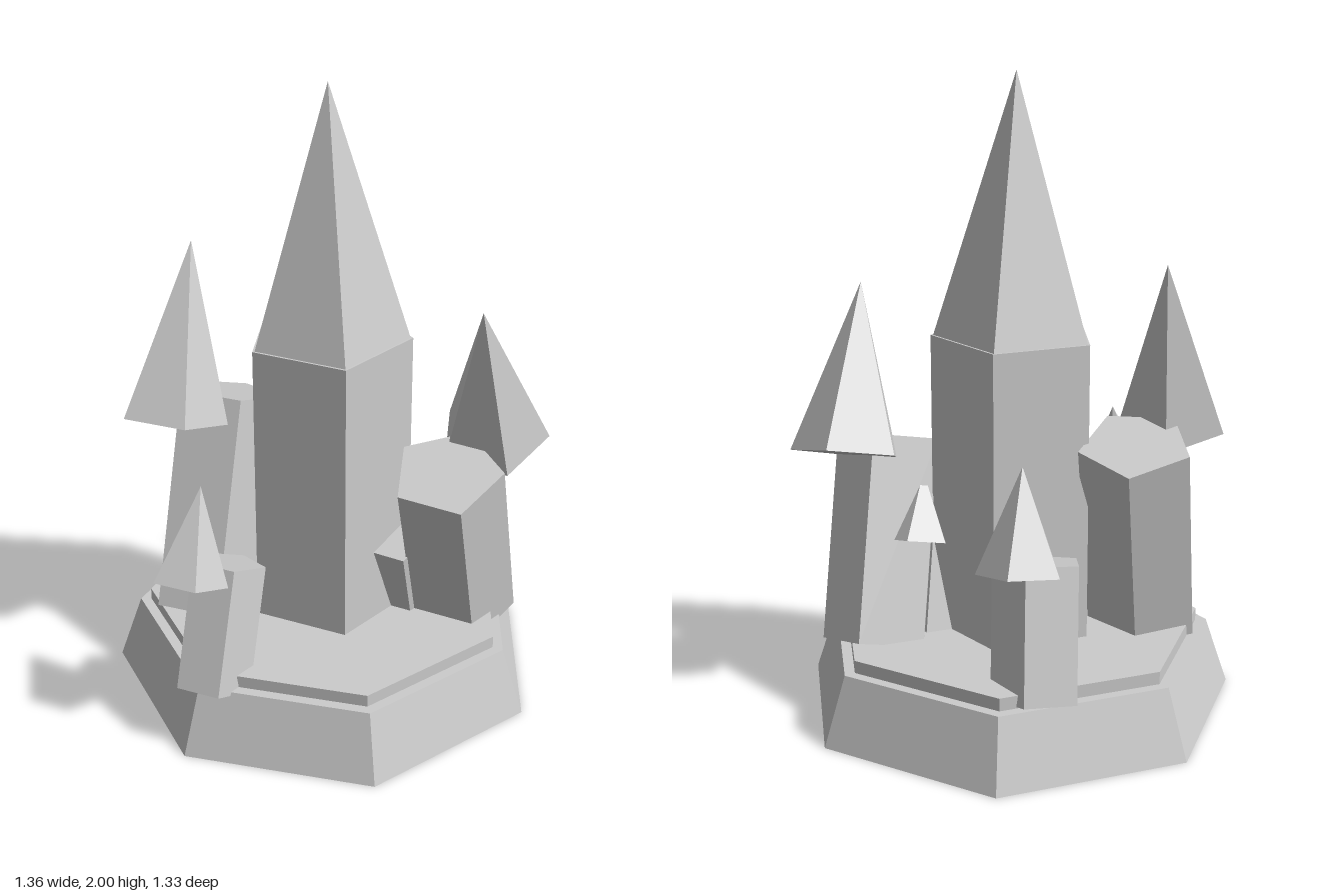
import * as THREE from 'three';

export function createModel() {
  const group = new THREE.Group();
  const stone = new THREE.MeshStandardMaterial({ color: 0xcccccc, flatShading: true });
  stone.name = 'grey stone';

  const add = (name, geometry, parent = group) => {
    const mesh = new THREE.Mesh(geometry, stone);
    mesh.name = name;
    parent.add(mesh);
    return mesh;
  };

  // Upright centre: seven-sided base and step, five-sided tower and spire
  const upright = (name, rTop, rBottom, y0, y1, sides) =>
    add(name, new THREE.CylinderGeometry(rTop, rBottom, y1 - y0, sides)).position.set(0, (y0 + y1) / 2, -0.035);
  upright('base', 0.625, 0.70, 0, 0.22, 7);
  upright('step', 0.59, 0.59, 0.21, 0.26, 7);
  upright('mainTower', 0.263, 0.263, 0.25, 1.2, 5);
  upright('mainSpire', 0, 0.255, 1.2, 2, 5);

  // Leaning side towers: a shaft and an offset spire sharing one tilt.
  // "corner" is the direction of one corner of the five-sided section.
  const towers = [
    { name: 'leftTower', axis: [-0.18, 0.945, 0.29], corner: [0.163, 0.017, 0.063],
      top: [0.317, 0.825, 0.238], length: 0.65, radius: 0.177,
      spire: [0.513, 0.843, 0.067], height: 0.533, spireRadius: 0.179 },
    { name: 'rightTower', axis: [0.173, 0.95, -0.262], corner: [-0.161, 0.035, 0.065],
      top: [-0.279, 0.897, -0.315], length: 0.72, radius: 0.177,
      spire: [-0.479, 0.899, -0.149], height: 0.567, spireRadius: 0.176 },
    { name: 'frontTurret', axis: [0.19, 0.93, -0.29], corner: [-0.119, 0.035, 0.036],
      top: [-0.367, 0.566, 0.2], length: 0.4, radius: 0.121,
      spire: [-0.499, 0.575, 0.306], height: 0.297, spireRadius: 0.12 },
    { name: 'backTurret', axis: [-0.09, 0.97, 0.205], corner: [-0.006, 0, 0.13],
      top: [0.071, 0.6, -0.41], length: 0.41, radius: 0.14,
      spire: [0.154, 0.595, -0.477], height: 0.315, spireRadius: 0.135 },
    { name: 'smallTurret', axis: [-0.18, 0.945, 0.29], corner: [0.163, 0.017, 0.063],
      top: [0.192, 0.53, 0.12], length: 0.34, radius: 0.095,
      spire: [0.307, 0.545, 0.02], height: 0.22, spireRadius: 0.105 },
  ];

  for (const t of towers) {
    const tower = new THREE.Group();
    tower.name = t.name;
    group.add(tower);

    // Local frame: y along the tilt, z through the corner
    const y = new THREE.Vector3(...t.axis).normalize();
    const x = new THREE.Vector3().crossVectors(y, new THREE.Vector3(...t.corner)).normalize();
    const z = new THREE.Vector3().crossVectors(x, y);
    const tilt = new THREE.Quaternion().setFromRotationMatrix(new THREE.Matrix4().makeBasis(x, y, z));

    const shaft = add('shaft', new THREE.CylinderGeometry(t.radius, t.radius, t.length, 5), tower);
    shaft.position.set(...t.top).addScaledVector(y, -t.length / 2);
    const spire = add('spire', new THREE.ConeGeometry(t.spireRadius, t.height, 5), tower);
    spire.position.set(...t.spire).addScaledVector(y, t.height / 2);
    shaft.quaternion.copy(tilt);
    spire.quaternion.copy(tilt);
  }
  return group;
}
